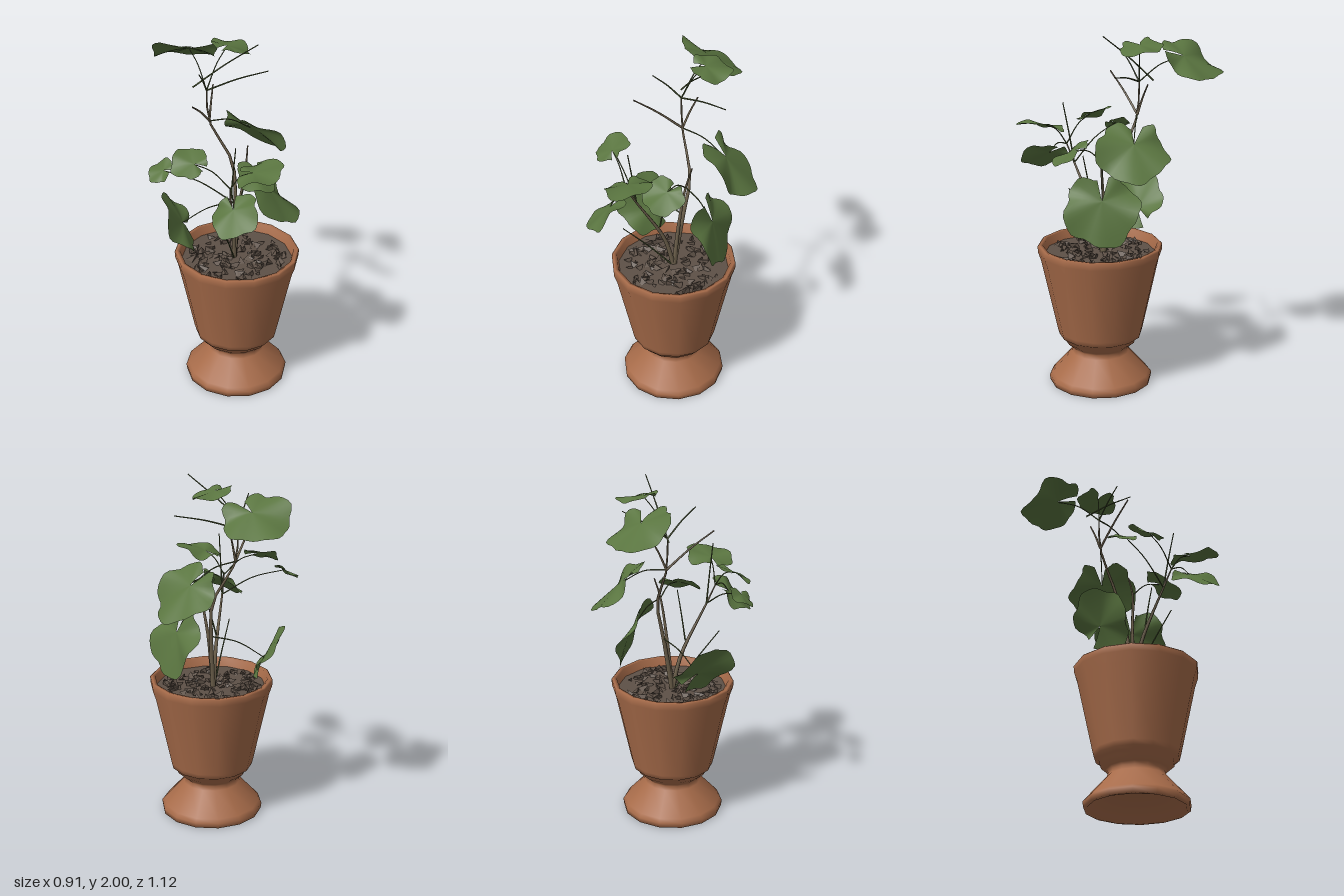
import * as THREE from 'three';
import { mergeGeometries } from 'three/addons/utils/BufferGeometryUtils.js';

const V = (p) => new THREE.Vector3(...p);
const POT_X = 0.033, POT_Z = 0.108, SOIL_Y = 0.762;

function seeded(seed) {
  return () => {
    seed = (seed * 16807) % 2147483647;
    return seed / 2147483647;
  };
}

function material(name, color, side = THREE.FrontSide) {
  const m = new THREE.MeshStandardMaterial({ color, side });
  m.name = name;
  return m;
}

function mesh(name, geometry, mat) {
  const m = new THREE.Mesh(geometry, mat);
  m.name = name;
  return m;
}

// Stem or twig: a tube through the points that tapers from r0 to r1
function stemGeometry(points, r0, r1) {
  const path = new THREE.CatmullRomCurve3(points);
  const steps = 10, sides = 5;
  const g = new THREE.TubeGeometry(path, steps, 1, sides);
  const pos = g.attributes.position, v = new THREE.Vector3();
  for (let i = 0; i < pos.count; i++) {
    const t = Math.floor(i / (sides + 1)) / steps;
    const c = path.getPointAt(t);
    v.fromBufferAttribute(pos, i).sub(c).multiplyScalar(r0 + (r1 - r0) * t).add(c);
    pos.setXYZ(i, v.x, v.y, v.z);
  }
  return g;
}

// Two ends joined by a curve whose middle is lifted
function arch(from, to, lift) {
  const middle = from.clone().lerp(to, 0.5);
  middle.y += lift;
  return [from, middle, to];
}

// Leaf blade of radius 1: a lobed disc with a notch towards +z, rings around the stalk
function leafGeometry(phase) {
  const rings = 5, spokes = 40, end = Math.PI - 0.24;
  const verts = [], index = [];
  for (let i = 0; i <= rings; i++) {
    const q = i / rings;
    for (let j = 0; j <= spokes; j++) {
      const a = -end + (2 * end * j) / spokes;
      const edge = THREE.MathUtils.smoothstep(Math.abs(a), end - 0.35, end);
      const r = q * (1.0 + 0.25 * Math.cos(a) + 0.075 * Math.cos(5 * a + phase * 0.3)
        + 0.03 * Math.cos(11 * a + phase)) * (1 - 0.15 * edge);
      const y = q * q * (0.1 * Math.sin(3 * a + phase) + 0.07 * Math.cos(5 * a) - 0.06) + 0.03;
      verts.push(r * Math.sin(a), y, 0.3 - r * Math.cos(a));
    }
  }
  const row = spokes + 1;
  for (let i = 0; i < rings; i++) {
    for (let j = 0; j < spokes; j++) {
      const p = i * row + j;
      if (i > 0) index.push(p, p + 1, p + row);
      index.push(p + 1, p + row + 1, p + row);
    }
  }
  const g = new THREE.BufferGeometry();
  g.setAttribute('position', new THREE.Float32BufferAttribute(verts, 3));
  g.setIndex(index);
  g.computeVertexNormals();
  return g;
}

// Points on the stems where leaf stalks and twigs grow
const TOP = V([0, 1.72, -0.11]), FORK = V([0.01, 1.54, -0.1]), LOW = V([0.07, 1.08, 0.05]);
const MID = V([0.1, 1.3, 0.1]), LEAN = V([-0.13, 1.24, 0.24]), LEAN_TIP = V([-0.17, 1.34, 0.28]);

// The leaf's stalk origin, centre, radius and facing
const LEAVES = [
  [TOP, [0.07, 1.845, -0.39], 0.178, [0.4, 1, -0.45]],
  [TOP, [0.17, 1.935, -0.105], 0.11, [0.22, 1, 0.1]],
  [FORK, [0.31, 1.395, -0.045], 0.192, [0.7, 0.7, -0.12]],
  [MID, [0.275, 1.065, 0.115], 0.2, [0.93, 0.37, 0]],
  [LOW, [-0.21, 0.99, -0.11], 0.172, [0.63, 0.5, 0.6]],
  [MID, [0.03, 1.335, 0.27], 0.113, [0, 0.85, 0.5]],
  [LEAN_TIP, [-0.095, 1.47, 0.43], 0.13, [-0.2, 0.95, -0.15]],
  [LEAN_TIP, [-0.245, 1.255, 0.405], 0.133, [-0.65, 0.75, 0.1]],
  [LEAN_TIP, [-0.315, 1.48, 0.115], 0.1, [-0.35, 0.85, 0.3]],
  [LEAN, [-0.39, 1.4, -0.03], 0.075, [-0.55, 0.8, 0]],
];

export function createModel() {
  const terracotta = material('terracotta', 0xa86c4a);
  const soil = material('soil', 0x5e5147);
  const leafGreen = material('leaf green', 0x5a7540, THREE.DoubleSide);
  const bark = material('bark', 0x70634e);
  const stalkGreen = material('stalk green', 0x4d5a34);
  const root = new THREE.Group();
  root.name = 'pottedPlant';

  // Footed pot with a hollow base
  const profile = [
    [0, 0.12], [0.15, 0.09], [0.25, 0.025], [0.268, 0], [0.288, 0], [0.292, 0.03],
    [0.275, 0.05], [0.163, 0.175], [0.155, 0.2], [0.168, 0.215], [0.203, 0.245],
    [0.208, 0.265], [0.233, 0.28], [0.241, 0.31], [0.33, 0.72], [0.347, 0.77],
    [0.349, 0.805], [0.34, 0.813], [0.32, 0.81], [0.3, 0.72],
  ].map(([x, y]) => new THREE.Vector2(x, y));
  const pot = mesh('pot', new THREE.LatheGeometry(profile, 14), terracotta);
  pot.position.set(POT_X, 0, POT_Z);
  root.add(pot);

  // Soil surface and loose bark chips
  const bed = mesh('soilBed', new THREE.CircleGeometry(0.312, 14, Math.PI / 2).rotateX(-Math.PI / 2), soil);
  bed.position.set(POT_X, SOIL_Y, POT_Z);
  root.add(bed);
  const rnd = seeded(4271);
  const chips = [];
  for (let i = 0; i < 120; i++) {
    const a = rnd() * Math.PI * 2, d = Math.sqrt(rnd()) * 0.265, s = 0.016 + rnd() * 0.02;
    chips.push(new THREE.TetrahedronGeometry(s)
      .scale(1.3, 0.8, 1)
      .rotateX(rnd() * 6).rotateY(rnd() * 6)
      .translate(POT_X + d * Math.cos(a), SOIL_Y + 0.004, POT_Z + d * Math.sin(a)));
  }
  root.add(mesh('soilChips', mergeGeometries(chips), soil));

  // Woody stems
  const foot = V([0.03, 0.74, 0.09]);
  const stems = {
    tallStem: [foot, LOW, V([0.09, 1.3, 0]), FORK, TOP],
    leaningStem: [foot, V([-0.01, 0.95, 0.13]), LEAN, LEAN_TIP],
    middleStem: [foot, V([0.06, 1.05, 0.09]), MID, V([0.13, 1.42, 0.08])],
    leftBranch: arch(FORK, V([-0.22, 1.74, 0.03]), 0.01),
    rightBranch: arch(FORK, V([0.08, 1.72, -0.15]), 0.01),
  };
  for (const [name, points] of Object.entries(stems)) {
    const thick = points[0] === foot ? 0.015 : 0.007;
    root.add(mesh(name, stemGeometry(points, thick, 0.004), bark));
  }

  // Bare twigs
  const twigs = [
    [V([-0.03, 1.72, -0.19]), V([0.18, 2, 0.1])],
    [foot, V([-0.2, 1.07, 0.27])],
    [TOP, V([-0.13, 1.88, -0.02])],
    [TOP, V([0.3, 1.8, 0.05])],
    [LEAN, V([-0.15, 1.58, 0.3])],
    [V([-0.03, 1.04, 0.15]), V([0.03, 1.32, 0.2])],
  ];
  twigs.forEach(([from, to], i) => {
    root.add(mesh('twig' + (i + 1), stemGeometry(arch(from, to, 0.01), 0.005, 0.003), stalkGreen));
  });

  // Leaves, each with its notch turned towards the stalk
  LEAVES.forEach(([origin, at, r, facing], i) => {
    const centre = V(at), up = V(facing).normalize();
    const notch = origin.clone().sub(centre).projectOnPlane(up).normalize();
    const side = new THREE.Vector3().crossVectors(up, notch);
    const leaf = mesh('leaf' + (i + 1), leafGeometry(i * 1.7), leafGreen);
    leaf.quaternion.setFromRotationMatrix(new THREE.Matrix4().makeBasis(side, up, notch));
    leaf.position.copy(centre);
    leaf.scale.setScalar(r * 0.98);
    const joint = centre.clone().addScaledVector(notch, 0.3 * r);
    const stalk = stemGeometry(arch(origin, joint, 0.03), 0.004, 0.0025);
    root.add(leaf, mesh('stalk' + (i + 1), stalk, stalkGreen));
  });

  return root;
}
